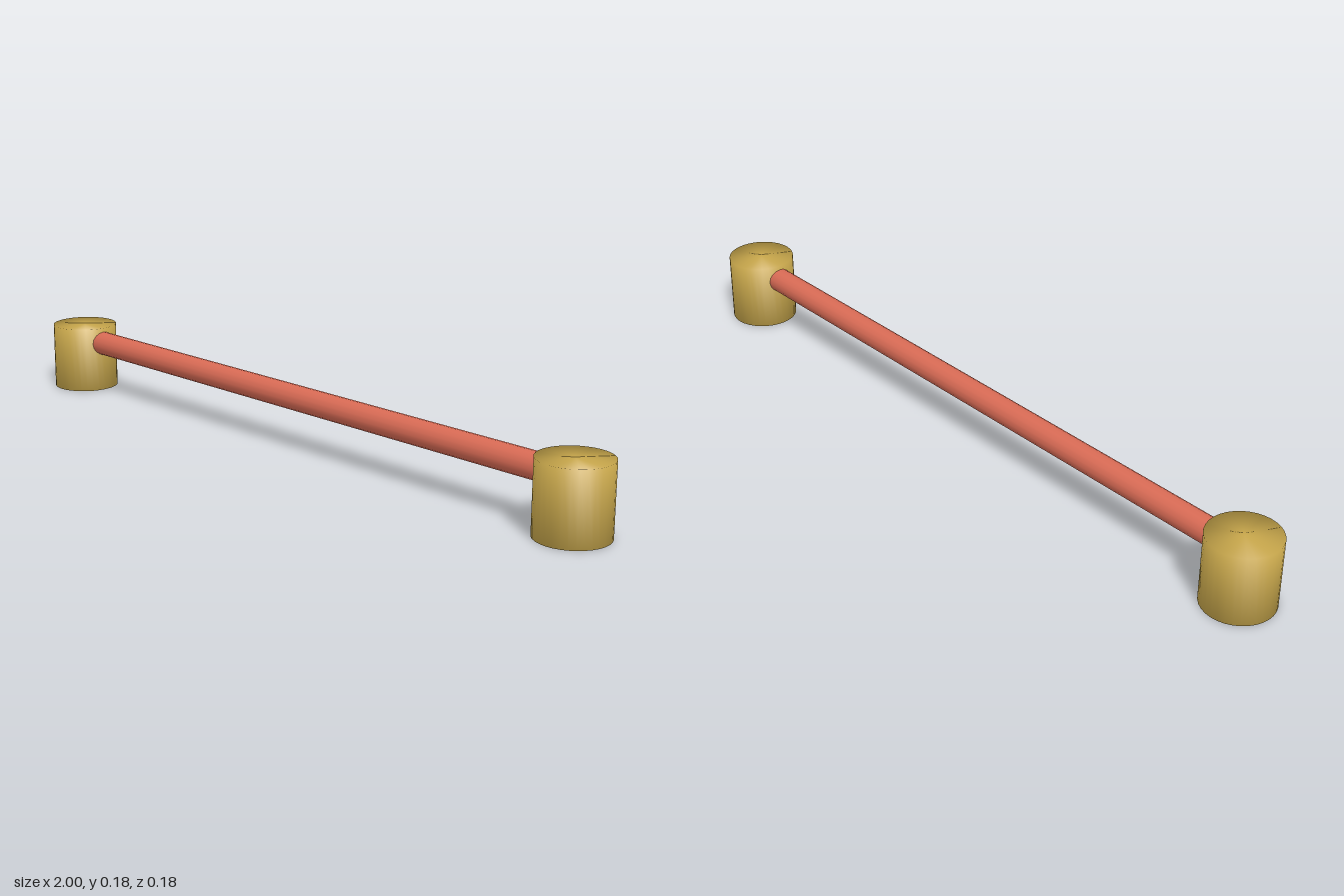
import * as THREE from 'three';

// Closed cylinder whose smooth normals run over the rims
function softCylinder(radius, height, sides) {
  const h = height / 2;
  const profile = [[0, -h], [radius, -h], [radius, h], [0, h]];
  return new THREE.LatheGeometry(profile.map(([x, y]) => new THREE.Vector2(x, y)), sides);
}

export function createModel() {
  const gold = new THREE.MeshStandardMaterial({ color: 0xc9a84c });
  gold.name = 'gold';
  const red = new THREE.MeshStandardMaterial({ color: 0xd96b55 });
  red.name = 'coral red';

  const group = new THREE.Group();
  group.name = 'barrier';

  // Upright end posts
  const postRadius = 0.0905, postHeight = 0.182;
  const postX = 1 - postRadius;
  for (const side of [1, -1]) {
    const post = new THREE.Mesh(softCylinder(postRadius, postHeight, 32), gold);
    post.name = side > 0 ? 'leftPost' : 'rightPost';
    post.position.set(side * postX, postHeight / 2, 0);
    group.add(post);
  }

  // Horizontal rod between the posts
  const rod = new THREE.Mesh(softCylinder(0.033, postX * 2, 16), red);
  rod.name = 'rod';
  rod.rotation.z = -Math.PI / 2;
  rod.position.y = 0.138;
  group.add(rod);

  return group;
}
